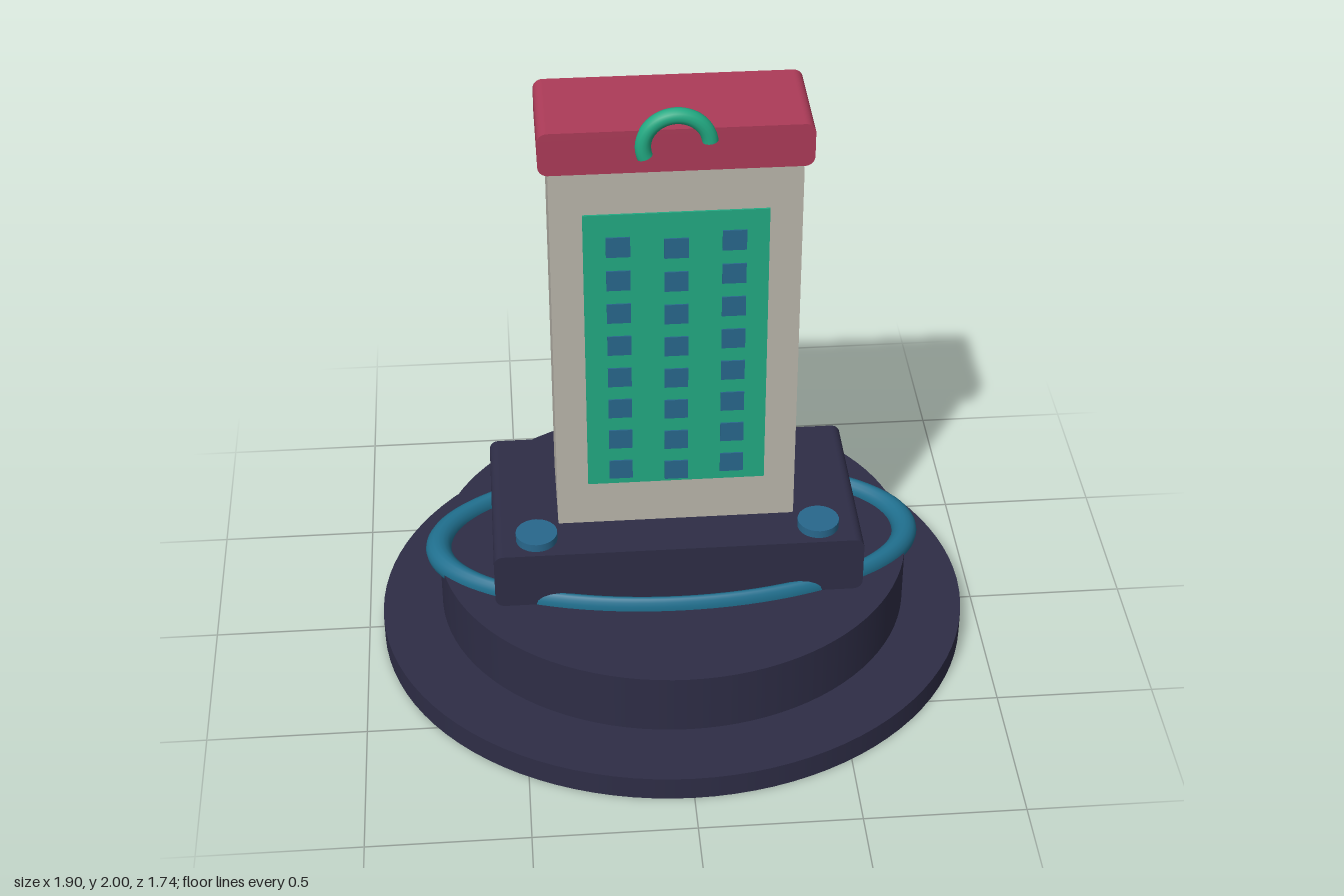
import * as THREE from 'three';

const mat = (name, color) => {
  const m = new THREE.MeshStandardMaterial({ color });
  m.name = name;
  return m;
};

// Slab with rounded corners in the front outline, extruded from z0 to z1
function roundedSlab(w, h, r, z0, z1) {
  const x = w / 2, y = h / 2;
  const s = new THREE.Shape();
  s.moveTo(-x + r, -y);
  s.lineTo(x - r, -y);
  s.absarc(x - r, -y + r, r, -Math.PI / 2, 0);
  s.absarc(x - r, y - r, r, 0, Math.PI / 2);
  s.absarc(-x + r, y - r, r, Math.PI / 2, Math.PI);
  s.absarc(-x + r, -y + r, r, Math.PI, Math.PI * 1.5);
  const g = new THREE.ExtrudeGeometry(s, { depth: z1 - z0, bevelEnabled: false, curveSegments: 6 });
  return g.translate(0, 0, z0);
}

export function createModel() {
  const model = new THREE.Group();
  model.name = 'towerOnPedestal';

  const navy = mat('navy', 0x2e2d46);
  const stone = mat('stone', 0xb9b5ab);
  const red = mat('red', 0xac3b58);
  const green = mat('green', 0x22a982);
  const blue = mat('blue', 0x20708f);
  const windowBlue = mat('windowBlue', 0x28678c);

  const add = (name, geometry, material, x = 0, y = 0, z = 0) => {
    const m = new THREE.Mesh(geometry, material);
    m.name = name;
    m.position.set(x, y, z);
    model.add(m);
    return m;
  };

  // Oval pedestal discs, with a narrow gap between them
  const disc = (name, rx, rz, y0, y1) => {
    const g = new THREE.CylinderGeometry(1, 1, y1 - y0, 96).scale(rx, 1, rz);
    add(name, g, navy, 0, (y0 + y1) / 2, 0);
  };
  disc('lowerDisc', 0.95, 0.872, 0, 0.08);
  disc('upperDisc', 0.755, 0.693, 0.117, 0.32);

  // Oval ring around the plinth
  const ring = new THREE.TorusGeometry(0.758, 0.041, 16, 96).rotateX(Math.PI / 2).scale(1, 1, 0.463);
  add('ovalRing', ring, blue, 0, 0.32, 0);

  // Plinth, tower and roof cap
  add('plinth', roundedSlab(1.16, 0.195, 0.03, -0.302, 0.305), navy, 0, 0.4175, 0);
  add('tower', roundedSlab(0.744, 1.3, 0.025, -0.145, 0.148), stone, 0, 1.15, 0);
  add('roofCap', roundedSlab(0.8, 0.138, 0.03, -0.163, 0.163), red, 0, 1.864, 0);

  // Facade panel with three columns of windows, each column slightly offset
  add('facadePanel', new THREE.BoxGeometry(0.55, 0.98, 0.008), green, 0, 1.16, 0.15);
  const pane = new THREE.BoxGeometry(0.072, 0.068, 0.009);
  [[-0.172, 0.725], [0, 0.714], [0.172, 0.734]].forEach(([x, y0]) => {
    for (let row = 0; row < 8; row++) add('window', pane, windowBlue, x, y0 + row * 0.1164, 0.154);
  });

  // Round studs on the front corners of the plinth
  for (const side of [-1, 1]) {
    add('stud', new THREE.CylinderGeometry(0.065, 0.065, 0.03, 32), windowBlue, side * 0.443, 0.527, 0.22);
  }

  // Arched handle on the front of the roof cap
  const start = 0.12, end = 3.48, R = 0.097, r = 0.024;
  add('handle', new THREE.TorusGeometry(R, r, 14, 40, end - start).rotateZ(start), green, 0, 1.879, 0.161);
  for (const a of [start, end]) {
    const tip = new THREE.CircleGeometry(r, 14).rotateX(a === start ? Math.PI / 2 : -Math.PI / 2).rotateZ(a);
    add('handleEnd', tip, green, R * Math.cos(a), 1.879 + R * Math.sin(a), 0.161);
  }

  return model;
}
